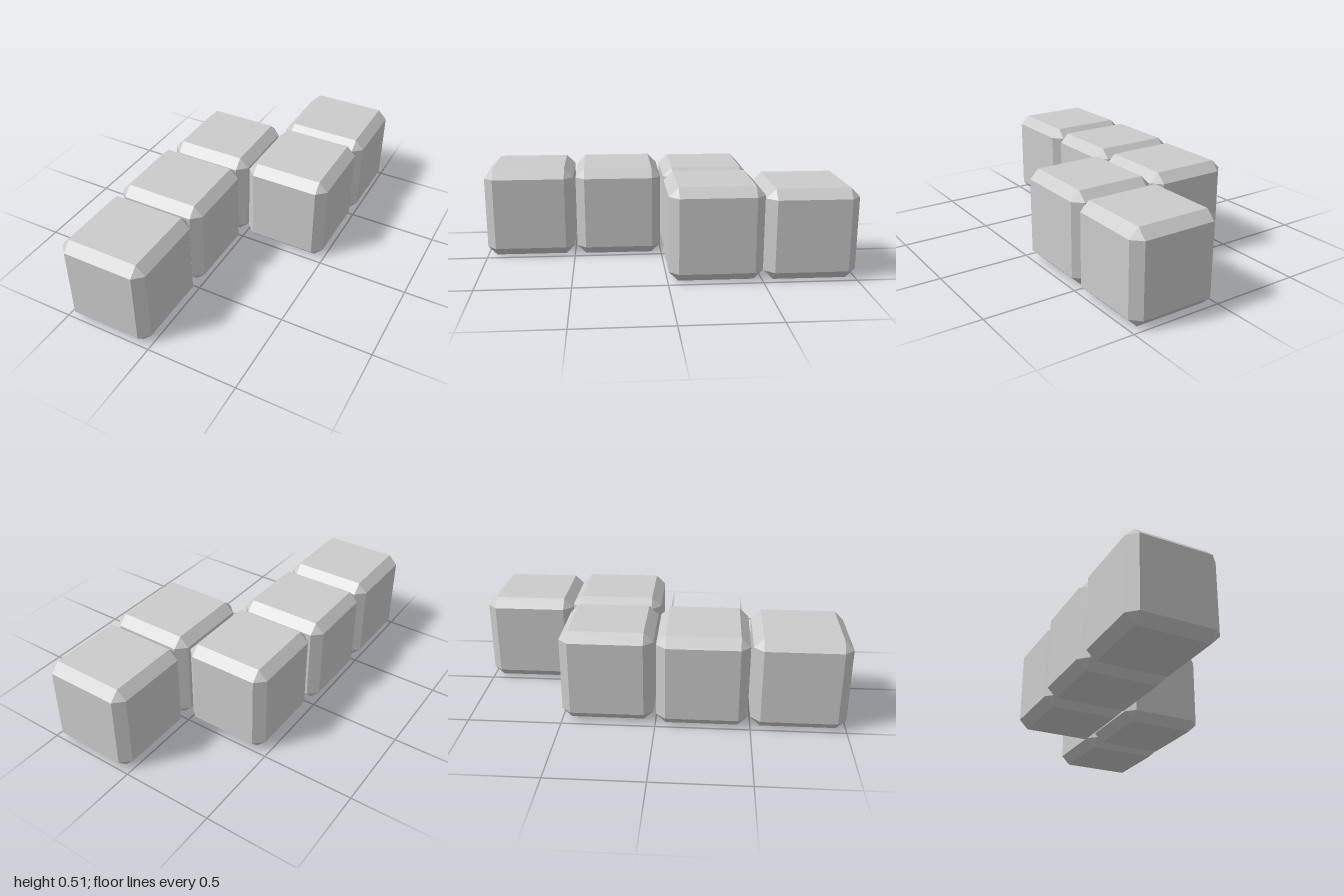
import * as THREE from 'three';
import { ConvexGeometry } from 'three/addons/geometries/ConvexGeometry.js';

const BEVEL = 0.05;

// Box with flat chamfers: three corner points at each of the eight corners
function chamferedBox(w, h, d, c) {
  const points = [];
  for (const sx of [-1, 1]) for (const sy of [-1, 1]) for (const sz of [-1, 1]) {
    const x = w / 2, y = h / 2, z = d / 2;
    points.push(
      new THREE.Vector3(sx * x, sy * (y - c), sz * (z - c)),
      new THREE.Vector3(sx * (x - c), sy * y, sz * (z - c)),
      new THREE.Vector3(sx * (x - c), sy * (y - c), sz * z)
    );
  }
  return new ConvexGeometry(points);
}

export function createModel() {
  const group = new THREE.Group();
  group.name = 'cubeChain';
  const material = new THREE.MeshStandardMaterial({ color: 0xcccccc, flatShading: true });

  // Slightly uneven cubes: name, x range, z range, height
  const cubes = [
    ['frontCube', -0.5, -0.008, 0.5, 1.0, 0.503],
    ['frontMiddleCube', -0.5, 0.0, 0.004, 0.486, 0.503],
    ['rightMiddleCube', -0.472, 0.0, -0.503, -0.012, 0.503],
    ['leftMiddleCube', 0.013, 0.487, -0.507, -0.006, 0.507],
    ['backCube', 0.003, 0.498, -1.0, -0.509, 0.492]
  ];
  for (const [name, x0, x1, z0, z1, h] of cubes) {
    const mesh = new THREE.Mesh(chamferedBox(x1 - x0, h, z1 - z0, BEVEL), material);
    mesh.name = name;
    mesh.position.set((x0 + x1) / 2, h / 2, (z0 + z1) / 2);
    group.add(mesh);
  }
  return group;
}
